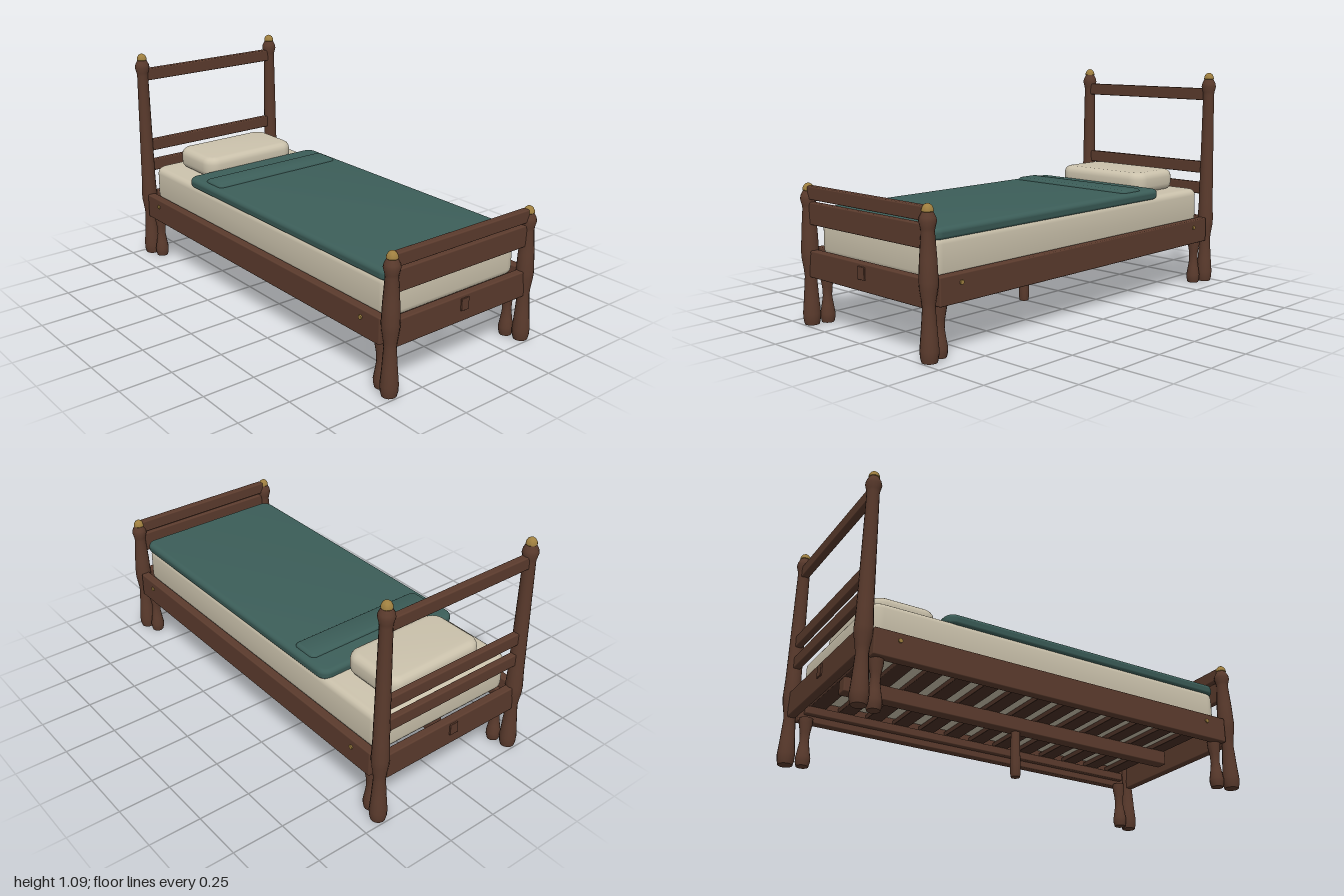
import * as THREE from 'three';
import { toCreasedNormals } from 'three/addons/utils/BufferGeometryUtils.js';
import { RoundedBoxGeometry } from 'three/addons/geometries/RoundedBoxGeometry.js';

const material = (name, color) => {
  const m = new THREE.MeshStandardMaterial({ color });
  m.name = name;
  return m;
};

export function createModel() {
  const wood = material('brown wood', 0x5b3b2d);
  const slatWood = material('dark wood', 0x4a3025);
  const linen = material('cream linen', 0xcbc2ac);
  const wool = material('green blanket', 0x3c5e59);
  const brass = material('brass', 0xa08040);
  const bed = new THREE.Group();
  bed.name = 'bed';

  const add = (name, geometry, mat, x = 0, y = 0, z = 0) => {
    const mesh = new THREE.Mesh(geometry, mat);
    mesh.name = name;
    mesh.position.set(x, y, z);
    bed.add(mesh);
    return mesh;
  };

  // Box given by its width, bottom and top heights, depth and centre
  const board = (name, w, y0, y1, d, x, z, mat = wood, r = 0.006) =>
    add(name, new RoundedBoxGeometry(w, y1 - y0, d, 2, r), mat, x, (y0 + y1) / 2, z);

  // Turned part from [radius, height] pairs
  const turned = (name, pairs, mat, x, y, z) => {
    const g = new THREE.LatheGeometry(pairs.map(([r, h]) => new THREE.Vector2(r, h)), 16);
    return add(name, toCreasedNormals(g, 0.7), mat, x, y, z);
  };

  // Cushion with rounded plan corners and softened upper and lower edges
  const cushion = (name, w, y0, y1, d, corner, bevel, z, mat) => {
    const a = w / 2 - bevel, b = d / 2 - bevel, c = corner;
    const s = new THREE.Shape();
    s.moveTo(-a + c, -b);
    s.lineTo(a - c, -b);
    s.absarc(a - c, -b + c, c, -Math.PI / 2, 0);
    s.lineTo(a, b - c);
    s.absarc(a - c, b - c, c, 0, Math.PI / 2);
    s.lineTo(-a + c, b);
    s.absarc(-a + c, b - c, c, Math.PI / 2, Math.PI);
    s.lineTo(-a, -b + c);
    s.absarc(-a + c, -b + c, c, Math.PI, Math.PI * 1.5);
    const g = new THREE.ExtrudeGeometry(s, {
      depth: y1 - y0 - 2 * bevel, bevelThickness: bevel, bevelSize: bevel,
      bevelSegments: 4, curveSegments: 6,
    });
    g.rotateX(-Math.PI / 2);
    return add(name, toCreasedNormals(g, 0.6), mat, 0, y0 + bevel, z);
  };

  // Corner posts: shared turned base, then a taper up to a collar and brass cap
  const base = [[0, 0], [0.033, 0], [0.038, 0.02], [0.04, 0.05], [0.034, 0.12],
    [0.027, 0.22], [0.03, 0.25], [0.038, 0.3], [0.04, 0.33]];
  const cap = [[0.02, -0.005], [0.025, 0.002], [0.024, 0.012], [0.018, 0.024], [0.009, 0.031], [0, 0.033]];
  const post = (name, top, x, z) => {
    turned(name, [...base, [0.036, 0.42], [0.028, top - 0.08], [0.03, top - 0.065],
      [0.037, top - 0.038], [0.034, top - 0.022], [0.023, top], [0, top]], wood, x, 0, z);
    turned(name + 'Cap', cap, brass, x, top, z);
  };
  const innerLeg = [[0, 0], [0.028, 0], [0.033, 0.02], [0.034, 0.04], [0.027, 0.08],
    [0.021, 0.12], [0.023, 0.16], [0.03, 0.2], [0.032, 0.23], [0, 0.23]];

  for (const side of [-1, 1]) {
    const label = side > 0 ? 'left' : 'right';
    post(label + 'HeadPost', 1.058, side * 0.4, -0.96);
    post(label + 'FootPost', 0.608, side * 0.4, 0.96);

    // Side rail with its inner ledger
    board(label + 'SideRail', 0.044, 0.22, 0.342, 1.85, side * 0.407, 0);
    board(label + 'Ledger', 0.03, 0.25, 0.29, 1.8, side * 0.372, 0);

    for (const end of [-1, 1]) {
      turned(label + 'InnerLeg', innerLeg, wood, side * 0.38, 0, end * 0.888);
      // Bolt cover
      const bolt = new THREE.CylinderGeometry(0.01, 0.01, 0.008, 12);
      bolt.rotateZ(Math.PI / 2);
      add(label + 'Bolt', bolt, brass, side * 0.431, 0.305, end * 0.81);
    }
  }

  // End rails with a small centre block
  for (const end of [-1, 1]) {
    board('endRail', 0.76, 0.22, 0.342, 0.04, 0, end * 0.96);
    board('endBlock', 0.044, 0.272, 0.328, 0.012, 0, end * 0.981, wood, 0.002);
  }

  // Footboard and headboard bars
  board('footTopRail', 0.77, 0.57, 0.63, 0.036, 0, 0.96);
  board('footPanel', 0.76, 0.457, 0.558, 0.03, 0, 0.96);
  board('headTopRail', 0.77, 0.95, 1.01, 0.036, 0, -0.96);
  board('headMiddleRail', 0.76, 0.57, 0.63, 0.032, 0, -0.96);
  board('headLowerRail', 0.76, 0.46, 0.52, 0.032, 0, -0.96);

  // Slats, centre beam and its support leg
  for (let i = 0; i < 13; i++) {
    board('slat', 0.77, 0.29, 0.315, 0.075, 0, -0.84 + i * 0.14, slatWood, 0.003);
  }
  board('centreBeam', 0.06, 0.22, 0.29, 1.76, 0, 0);
  turned('centreLeg', [[0, 0], [0.021, 0], [0.024, 0.015], [0.024, 0.06], [0.021, 0.23], [0, 0.23]],
    wood, 0, 0, 0);

  // Bedding
  cushion('mattress', 0.765, 0.315, 0.49, 1.85, 0.03, 0.03, 0, linen);
  cushion('blanket', 0.78, 0.478, 0.528, 1.495, 0.03, 0.02, 0.1725, wool);
  cushion('blanketFold', 0.72, 0.505, 0.541, 0.14, 0.01, 0.017, -0.39, wool);
  cushion('pillow', 0.535, 0.485, 0.59, 0.315, 0.035, 0.034, -0.715, linen);

  return bed;
}
